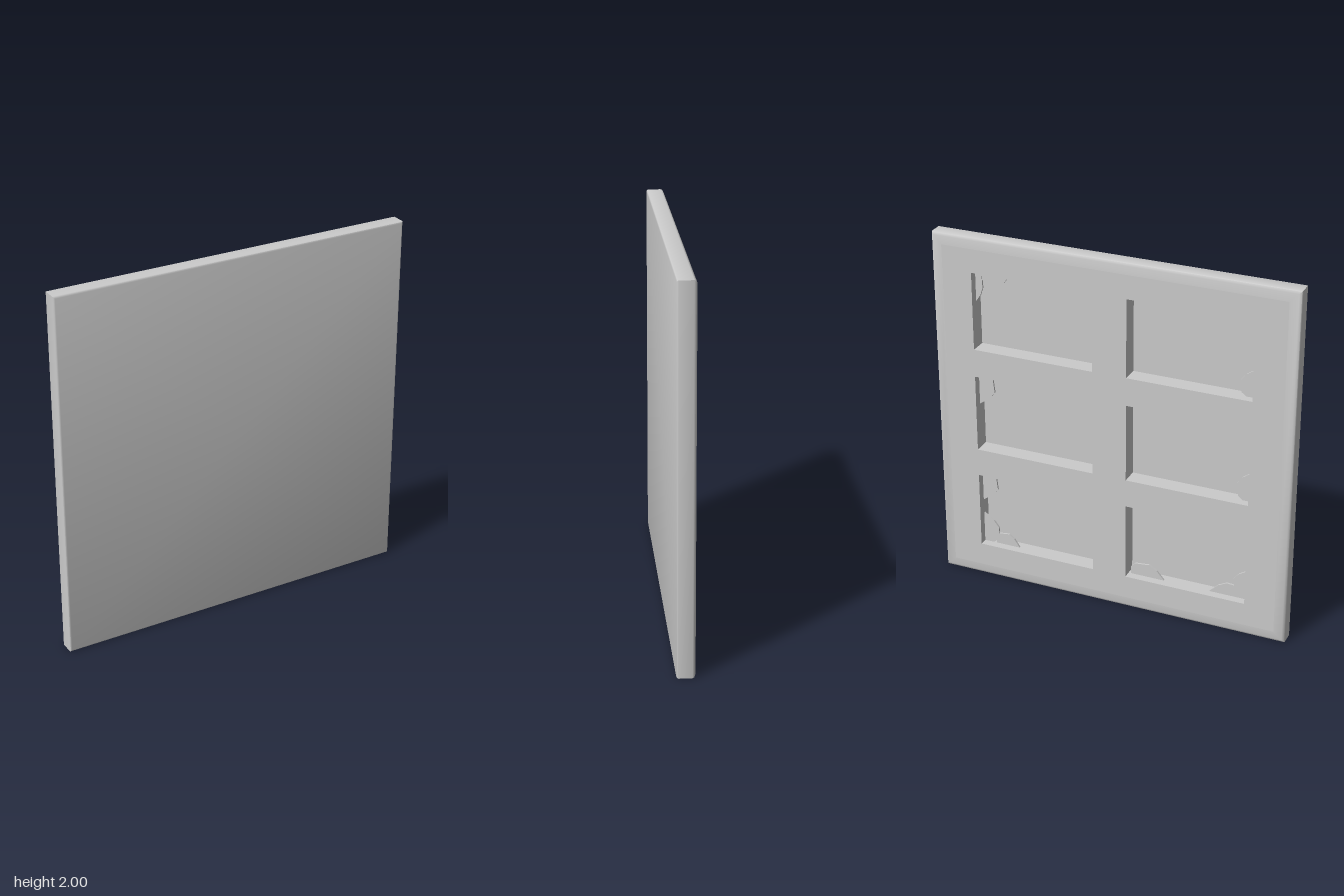
import * as THREE from 'three';
import { toCreasedNormals } from 'three/addons/utils/BufferGeometryUtils.js';

const BACK = -0.05, FRONT = 0.05, FLOOR = 0.045, INNER = 0.94;
const COLUMNS = [[0.095, 0.773], [-0.773, -0.095]];
const ROWS = [[0.19, 0.625], [0.782, 1.218], [1.375, 1.81]];

// Jagged outline of a shard: [fraction along the edge, fraction of its reach]
const JAG = [[0, 0], [0.22, 0.65], [0.45, 1], [0.88, 0.9], [1, 0.6], [1, 0]];

// Shards as [edge direction, edge position, start, end, reach into the pane]
const SHARDS = [
  // upper panes
  ['x', 0.773, 1.635, 1.81, -0.04], ['y', 1.81, 0.576, 0.735, -0.08], ['y', 1.81, 0.31, 0.1, -0.06],
  ['y', 1.81, -0.583, -0.735, -0.07], ['x', -0.773, 1.65, 1.81, 0.08], ['x', -0.773, 1.53, 1.375, 0.08],
  // middle panes
  ['x', 0.773, 1.04, 1.218, -0.09], ['x', -0.773, 0.95, 0.782, 0.08],
  // lower panes
  ['x', 0.773, 0.45, 0.625, -0.09], ['x', 0.773, 0.366, 0.19, -0.09], ['y', 0.19, 0.56, 0.7, 0.07],
  ['y', 0.19, -0.3, -0.11, 0.075], ['y', 0.19, -0.56, -0.773, 0.072], ['x', -0.773, 0.366, 0.22, 0.08],
];

function rectangle(Type, x0, x1, y0, y1) {
  return new Type([[x0, y0], [x1, y0], [x1, y1], [x0, y1]].map(([x, y]) => new THREE.Vector2(x, y)));
}

export function createModel() {
  const group = new THREE.Group();
  const material = new THREE.MeshStandardMaterial({ color: 0xcccccc });
  const add = (name, geometry, y = 0, z = 0) => {
    const mesh = new THREE.Mesh(geometry, material);
    mesh.name = name;
    mesh.position.set(0, y, z);
    group.add(mesh);
  };

  // Square shell: softened rim and plain front, lathed with four sides
  const profile = [
    [INNER, BACK], [0.985, -0.045], [0.997, -0.039], [1, -0.03],
    [1, 0.04], [0.997, 0.047], [0.99, FRONT], [0, FRONT],
  ].map(([half, z]) => new THREE.Vector2(half * Math.SQRT2, z));
  const shell = new THREE.LatheGeometry(profile, 4, Math.PI / 4).rotateX(Math.PI / 2);
  add('rimAndFront', toCreasedNormals(shell, 0.8), 1);

  // Window grid with six openings, seen from the back
  const grid = rectangle(THREE.Shape, -INNER, INNER, 1 - INNER, 1 + INNER);
  for (const [x0, x1] of COLUMNS) {
    for (const [y0, y1] of ROWS) grid.holes.push(rectangle(THREE.Path, x0, x1, y0, y1));
  }
  add('windowGrid', new THREE.ExtrudeGeometry(grid, { depth: FLOOR - BACK, bevelEnabled: false }), 0, BACK);

  // Flat panel closing the openings
  add('backingPanel', new THREE.PlaneGeometry(2 * INNER, 2 * INNER).rotateY(Math.PI), 1, FLOOR);

  // Broken glass left along the edges of the panes
  for (const [axis, edge, start, end, reach] of SHARDS) {
    const outline = JAG.map(([t, d]) => {
      const along = start + (end - start) * t;
      const across = edge + reach * d;
      return axis === 'x' ? new THREE.Vector2(across, along) : new THREE.Vector2(along, across);
    });
    const shard = new THREE.ExtrudeGeometry(new THREE.Shape(outline), { depth: 0.01, bevelEnabled: false });
    add('glassShard', shard, 0, -0.005);
  }
  return group;
}
